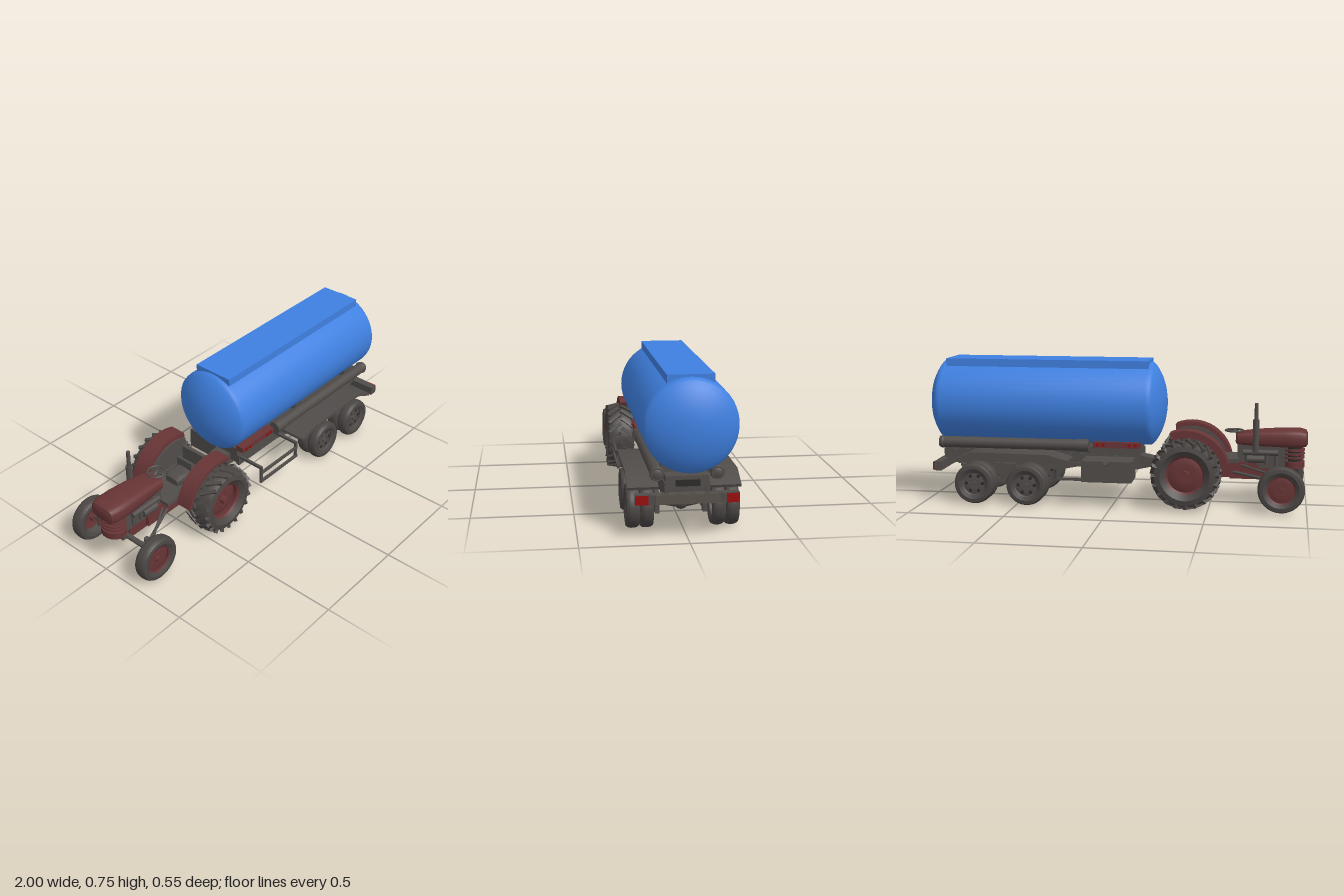
import * as THREE from 'three';
import { mergeGeometries, toCreasedNormals } from 'three/addons/utils/BufferGeometryUtils.js';

const material = (name, color, side = THREE.FrontSide) => {
  const m = new THREE.MeshStandardMaterial({ color, side });
  m.name = name;
  return m;
};
const blue = material('tank blue', 0x3f80e0);
const red = material('tractor maroon', 0x683536, THREE.DoubleSide);
const grey = material('chassis grey', 0x504c4a, THREE.DoubleSide);
const rubber = material('tyre grey', 0x4a4644, THREE.DoubleSide);
const dark = material('shadow grey', 0x2d2a29);
const lamp = material('lamp red', 0x980c0c);
const worn = material('worn bumper', 0x58534a);

const V = (x, y, z) => new THREE.Vector3(x, y, z);

function add(parent, name, geo, mat, x = 0, y = 0, z = 0) {
  const m = new THREE.Mesh(geo, mat);
  m.name = name;
  m.position.set(x, y, z);
  parent.add(m);
  return m;
}

// Box given by its limits on each axis
function box(parent, name, mat, [x0, x1], [y0, y1], [z0, z1]) {
  return add(parent, name, new THREE.BoxGeometry(x1 - x0, y1 - y0, z1 - z0), mat,
    (x0 + x1) / 2, (y0 + y1) / 2, (z0 + z1) / 2);
}

// Round bar between two points
function rod(parent, name, mat, a, b, r, r2 = r, seg = 14) {
  const d = b.clone().sub(a);
  const m = add(parent, name, new THREE.CylinderGeometry(r2, r, d.length(), seg), mat);
  m.position.copy(a).add(b).multiplyScalar(0.5);
  m.quaternion.setFromUnitVectors(V(0, 1, 0), d.normalize());
  return m;
}

// Side outline (x, y) extruded between two z values
function prism(parent, name, mat, pts, z0, z1) {
  const shape = new THREE.Shape(pts.map(p => new THREE.Vector2(...p)));
  const g = new THREE.ExtrudeGeometry(shape, { depth: z1 - z0, bevelEnabled: false });
  return add(parent, name, toCreasedNormals(g, 0.5), mat, 0, 0, z0);
}

function lathe(pts, seg, crease = 0.6) {
  return toCreasedNormals(new THREE.LatheGeometry(pts.map(p => new THREE.Vector2(...p)), seg), crease);
}

// Rounded body running along x: sections are [x, halfWidth, yBottom, yTop]
function loft(sections, n = 24) {
  const pos = [], idx = [];
  const sq = v => Math.sign(v) * Math.pow(Math.abs(v), 0.55);
  for (const [x, w, y0, y1] of sections) for (let i = 0; i < n; i++) {
    const a = i / n * Math.PI * 2;
    pos.push(x, (y0 + y1) / 2 + sq(Math.sin(a)) * (y1 - y0) / 2, sq(Math.cos(a)) * w);
  }
  for (let s = 0; s < sections.length - 1; s++) for (let i = 0; i < n; i++) {
    const a = s * n + i, b = s * n + (i + 1) % n;
    idx.push(a, a + n, b, b, a + n, b + n);
  }
  const last = (sections.length - 1) * n;
  for (let i = 1; i < n - 1; i++) idx.push(0, i, i + 1, last, last + i + 1, last + i);
  const g = new THREE.BufferGeometry();
  g.setAttribute('position', new THREE.Float32BufferAttribute(pos, 3));
  g.setIndex(idx);
  return toCreasedNormals(g, 0.7);
}

// Wheel with its axle along z, outer face towards +z
function wheel(parent, name, x, y, z, { r, rim, w, rimMat, lugs = 0, holes = 0 }) {
  const g = new THREE.Group();
  g.name = name;
  g.position.set(x, y, z);
  if (z < 0) g.rotation.y = Math.PI;
  parent.add(g);
  const tr = lugs ? r - 0.012 : r;
  const half = [[rim, 0.36], [rim + (tr - rim) * 0.4, 0.5], [rim + (tr - rim) * 0.8, 0.46], [tr - 0.003, 0.32], [tr, 0.12]];
  const tyre = [...half.map(([a, b]) => [a, -b * w]), ...half.reverse().map(([a, b]) => [a, b * w])];
  add(g, 'tyre', lathe(tyre, 40).rotateX(Math.PI / 2), rubber);
  const dish = [[rim, -0.36], [rim * 0.96, 0.1], [rim * 0.85, 0.12], [rim * 0.6, 0.18], [rim * 0.3, 0.16], [0.001, 0.16]];
  const face = [[rim, 0.36], [rim * 0.9, 0.3], ...dish.slice(1)];
  add(g, 'rim disc', lathe(face.map(([a, b]) => [a, b * w]).reverse(), 32).rotateX(Math.PI / 2), rimMat);
  add(g, 'rim barrel', lathe([[rim, -0.36 * w], [rim * 0.95, 0.1 * w]], 32).rotateX(Math.PI / 2), grey);
  rod(g, 'hub', rimMat, V(0, 0, -w * 0.3), V(0, 0, w * 0.36), rim * 0.25, rim * 0.2);
  for (let i = 0; i < 6; i++) {
    const a = i / 6 * Math.PI * 2, c = Math.cos(a), s = Math.sin(a);
    rod(g, 'wheel nut', rimMat, V(c * rim * 0.4, s * rim * 0.4, 0.1 * w), V(c * rim * 0.4, s * rim * 0.4, 0.25 * w), rim * 0.06, rim * 0.06, 6);
    if (holes) rod(g, 'rim hole', dark, V(c * rim * 0.7, s * rim * 0.7, 0.12 * w), V(c * rim * 0.7, s * rim * 0.7, 0.19 * w), rim * 0.14);
  }
  const bars = [];
  for (let i = 0; i < lugs; i++) for (const s of [-1, 1]) {
    bars.push(new THREE.BoxGeometry(0.017, 0.026, w * 0.56).rotateX(s * 0.14).rotateY(s * 0.65)
      .translate(0, r - 0.017, s * w * 0.24).rotateZ((i + (s > 0 ? 0.5 : 0)) / lugs * Math.PI * 2));
  }
  if (lugs) add(g, 'tread lugs', mergeGeometries(bars), rubber);
}

function buildTractor(t) {
  // Bonnet and grille
  add(t, 'bonnet', loft([[-1, 0.05, 0.33, 0.385], [-0.992, 0.07, 0.318, 0.4], [-0.96, 0.081, 0.312, 0.408],
    [-0.88, 0.082, 0.312, 0.407], [-0.75, 0.074, 0.315, 0.398], [-0.64, 0.062, 0.32, 0.384], [-0.63, 0.05, 0.33, 0.375]]), red);
  const grille = (name, y0, y1, k, m) => {
    add(t, name, new THREE.CylinderGeometry(k, k, y1 - y0, 28), m, -0.928, (y0 + y1) / 2, 0).scale.x = 0.85;
  };
  grille('grille core', 0.23, 0.32, 0.05, dark);
  grille('grille base', 0.205, 0.24, 0.068, red);
  for (const y of [0.255, 0.275, 0.295]) grille('grille slat', y, y + 0.009, 0.069, red);
  // Engine and gearbox
  box(t, 'engine block', grey, [-0.9, -0.64], [0.2, 0.32], [-0.045, 0.045]);
  box(t, 'sump', red, [-0.86, -0.6], [0.14, 0.22], [-0.04, 0.04]);
  box(t, 'gearbox', red, [-0.75, -0.33], [0.15, 0.235], [-0.058, 0.058]);
  box(t, 'rear axle housing', red, [-0.45, -0.31], [0.09, 0.25], [-0.066, 0.066]);
  for (const s of [-1, 1]) {
    rod(t, 'engine pipe', grey, V(-0.85, 0.285, s * 0.055), V(-0.67, 0.285, s * 0.055), 0.015);
    rod(t, 'engine filter', grey, V(-0.78, 0.25, s * 0.055), V(-0.69, 0.25, s * 0.055), 0.02);
    for (let i = 0; i < 4; i++) rod(t, 'engine port', grey, V(-0.84 + i * 0.05, 0.22, s * 0.05), V(-0.84 + i * 0.05, 0.3, s * 0.05), 0.01);
  }
  rod(t, 'rear axle', red, V(-0.385, 0.19, -0.19), V(-0.385, 0.19, 0.19), 0.035);
  rod(t, 'front axle', grey, V(-0.87, 0.155, -0.2), V(-0.87, 0.155, 0.2), 0.014);
  box(t, 'front axle mount', grey, [-0.9, -0.84], [0.14, 0.22], [-0.03, 0.03]);
  // Exhaust, steering wheel and platform
  rod(t, 'silencer', grey, V(-0.735, 0.29, -0.072), V(-0.735, 0.46, -0.072), 0.017);
  rod(t, 'exhaust pipe', grey, V(-0.735, 0.45, -0.072), V(-0.735, 0.545, -0.072), 0.01);
  rod(t, 'steering column', grey, V(-0.68, 0.35, 0), V(-0.62, 0.39, 0), 0.008);
  const steering = add(t, 'steering wheel', new THREE.TorusGeometry(0.046, 0.005, 8, 28), grey, -0.62, 0.39, 0);
  steering.rotation.set(Math.PI / 2, -0.5, 0, 'ZYX');
  steering.rotation.set(Math.PI / 2, 0.55, 0);
  for (let i = 0; i < 3; i++) box(steering, 'steering spoke', grey, [0, 0.046], [-0.003, 0.003], [-0.002, 0.002]).geometry.translate(0.0, 0, 0);
  steering.children.forEach((c, i) => { c.position.set(0, 0, 0); c.geometry.translate(0.023, 0, 0); c.rotation.z = i * Math.PI * 2 / 3; });
  box(t, 'platform', grey, [-0.65, -0.31], [0.235, 0.255], [-0.1, 0.1]);
  box(t, 'rear panel', grey, [-0.33, -0.31], [0.24, 0.335], [-0.1, 0.1]);
  add(t, 'seat', loft([[-0.52, 0.04, 0.25, 0.29], [-0.5, 0.052, 0.25, 0.305], [-0.43, 0.052, 0.25, 0.305], [-0.415, 0.045, 0.25, 0.3]]), grey);
  box(t, 'seat back', grey, [-0.425, -0.41], [0.28, 0.345], [-0.05, 0.05]);
  // Mudguards, wheels and steering rods on both sides
  const arc = (r, a0, a1) => Array.from({ length: 19 }, (_, i) => {
    const a = (a0 + (a1 - a0) * i / 18) * Math.PI / 180;
    return [-0.385 + r * Math.cos(a), 0.19 + r * Math.sin(a)];
  });
  for (const s of [-1, 1]) {
    const span = (a, b) => s > 0 ? [a, b] : [-b, -a];
    prism(t, 'mudguard', red, [...arc(0.222, 67, 168), ...arc(0.205, 168, 67)], ...span(0.115, 0.202));
    prism(t, 'mudguard side', red, [...arc(0.214, 67, 168), [-0.3, 0.235]], ...span(0.112, 0.122));
    prism(t, 'mudguard lining', grey, [...arc(0.2, 67, 160), [-0.31, 0.235]], ...span(0.1, 0.111));
    wheel(t, 'tractor rear wheel', -0.385, 0.19, s * 0.201, { r: 0.181, rim: 0.1, w: 0.145, rimMat: red, lugs: 20 });
    wheel(t, 'tractor front wheel', -0.87, 0.128, s * 0.225, { r: 0.119, rim: 0.073, w: 0.068, rimMat: red });
    rod(t, 'radius rod', grey, V(-0.86, 0.15, s * 0.15), V(-0.62, 0.18, s * 0.06), 0.008);
    rod(t, 'track rod', grey, V(-0.83, 0.19, s * 0.17), V(-0.66, 0.22, s * 0.07), 0.006);
    rod(t, 'kingpin', grey, V(-0.87, 0.11, s * 0.17), V(-0.87, 0.22, s * 0.17), 0.014);
  }
  rod(t, 'drawbar', red, V(-0.33, 0.21, 0), V(-0.25, 0.21, 0), 0.018);
}

function buildTrailer(t) {
  // Chassis, centred on its own z = 0
  prism(t, 'drawbar neck', grey, [[-0.29, 0.2], [-0.19, 0.19], [-0.1, 0.17], [-0.1, 0.255], [-0.2, 0.235], [-0.29, 0.225]], -0.045, 0.045);
  box(t, 'deck', grey, [-0.13, 0.93], [0.25, 0.3], [-0.1, 0.1]);
  box(t, 'rear recess', dark, [0.925, 0.934], [0.252, 0.282], [-0.058, 0.055]);
  for (const x of [-0.12, 0.15, 0.3, 0.585, 0.88]) box(t, 'cross member', grey, [x, x + 0.03], [0.2, 0.25], [-0.1, 0.1]);
  for (const x of [-0.05, 0.35, 0.8]) box(t, 'tank saddle', grey, [x, x + 0.05], [0.28, 0.345], [-0.11, 0.11]);
  // Bumper and tail lamps
  box(t, 'bumper', grey, [0.905, 0.945], [0.173, 0.22], [-0.238, 0.238]);
  box(t, 'bumper plate', worn, [0.943, 0.95], [0.174, 0.219], [-0.148, 0.148]);
  // Running gear
  for (const x of [0.445, 0.725]) {
    rod(t, 'axle', grey, V(x, 0.12, -0.2), V(x, 0.12, 0.2), 0.014);
    add(t, 'axle housing', new THREE.SphereGeometry(0.036, 20, 14), grey, x, 0.12, 0);
    for (const s of [-1, 1]) {
      rod(t, 'axle sleeve', grey, V(x, 0.12, s * 0.02), V(x, 0.12, s * 0.08), 0.026, 0.015);
      for (const z of [0.168, 0.234]) wheel(t, 'trailer wheel', x, 0.111, s * z, { r: 0.107, rim: 0.062, w: 0.064, rimMat: grey, holes: 6 });
      prism(t, 'leaf spring', grey, [[x - 0.11, 0.18], [x - 0.04, 0.14], [x + 0.04, 0.14], [x + 0.11, 0.18], [x + 0.11, 0.195], [x, 0.165], [x - 0.11, 0.195]], s * 0.114 - 0.011, s * 0.114 + 0.011);
      box(t, 'spring clamp', grey, [x - 0.02, x + 0.02], [0.07, 0.17], [s * 0.114 - 0.011, s * 0.114 + 0.011]);
    }
  }
  rod(t, 'anti-roll bar', grey, V(0.78, 0.158, -0.11), V(0.78, 0.158, 0.11), 0.008);
  for (const s of [-1, 1]) {
    const span = (a, b) => s > 0 ? [a, b] : [-b, -a];
    prism(t, 'main rail', grey, [[-0.12, 0.19], [0.2, 0.19], [0.3, 0.17], [0.85, 0.19], [0.93, 0.22], [0.93, 0.27], [-0.12, 0.255]], ...span(0.085, 0.105));
    prism(t, 'spring hanger', grey, [[0.53, 0.2], [0.56, 0.09], [0.61, 0.09], [0.64, 0.2]], ...span(0.1, 0.128));
    prism(t, 'wheel guard', grey, [[0.22, 0.235], [0.34, 0.262], [0.73, 0.266], [0.84, 0.215], [0.845, 0.228], [0.74, 0.28], [0.33, 0.278], [0.22, 0.248]], ...span(0.12, 0.266));
    box(t, 'tail lamp', lamp, [0.943, 0.952], [0.175, 0.217], span(0.178, 0.236));
    box(t, 'lamp holder', grey, [0.943, 0.952], [0.177, 0.217], span(0.151, 0.174));
    // Hose tubes and marker bars under the tank
    rod(t, 'hose tube', grey, V(0.17, 0.312, s * 0.138), V(0.94, 0.312, s * 0.138), 0.03, 0.03, 24);
    rod(t, 'tube front cap', grey, V(0.13, 0.312, s * 0.138), V(0.2, 0.312, s * 0.138), 0.034, 0.034, 24);
    add(t, 'tube end cap', new THREE.SphereGeometry(0.034, 20, 12), grey, 0.925, 0.312, s * 0.138).scale.x = 0.6;
    box(t, 'marker bar', red, [-0.14, 0.11], [0.302, 0.333], span(0.1, 0.15));
    for (const x of [-0.115, -0.085, 0.055, 0.085]) rod(t, 'marker lamp', lamp, V(x, 0.318, s * 0.149), V(x, 0.318, s * 0.155), 0.009);
  }
  // Side guard on the left, equipment box on the right
  for (const y of [0.145, 0.2]) box(t, 'side guard rail', grey, [-0.115, 0.19], [y, y + 0.014], [0.244, 0.256]);
  for (const x of [-0.115, 0.175]) {
    box(t, 'side guard post', grey, [x, x + 0.014], [0.145, 0.245], [0.242, 0.254]);
    box(t, 'side guard arm', grey, [x, x + 0.014], [0.232, 0.246], [0.1, 0.254]);
  }
  box(t, 'equipment box', grey, [-0.11, 0.15], [0.14, 0.25], [-0.257, -0.105]);
  rod(t, 'filler cap', grey, V(0.02, 0.24, -0.25), V(0.02, 0.247, -0.272), 0.012);
  for (const y of [0.145, 0.225]) box(t, 'right guard rail', grey, [0.15, 0.28], [y, y + 0.014], [-0.255, -0.243]);
  box(t, 'right guard post', grey, [0.266, 0.28], [0.145, 0.24], [-0.255, -0.243]);
}

export function createModel() {
  const model = new THREE.Group();
  model.name = 'tractorWithTanker';
  const part = name => {
    const g = new THREE.Group();
    g.name = name;
    model.add(g);
    return g;
  };
  buildTractor(part('tractor'));
  const trailer = part('trailer');
  trailer.position.z = 0.004;
  buildTrailer(trailer);

  // Domed tank with a flat walkway on top
  const tank = part('tank');
  const dome = [[0.001, 0], [0.05, 0.002], [0.1, 0.011], [0.15, 0.028], [0.18, 0.044], [0.205, 0.061], [0.216, 0.072], [0.22, 0.09]];
  const profile = [...dome.map(([r, d]) => [r, -0.266 + d]), ...dome.slice().reverse().map(([r, d]) => [r, 1 - d])];
  add(tank, 'tank shell', lathe(profile, 48, 0.75).rotateZ(-Math.PI / 2), blue, 0, 0.526, -0.015);
  box(tank, 'tank walkway', blue, [-0.18, 0.9], [0.69, 0.757], [-0.125, 0.094]);
  return model;
}
